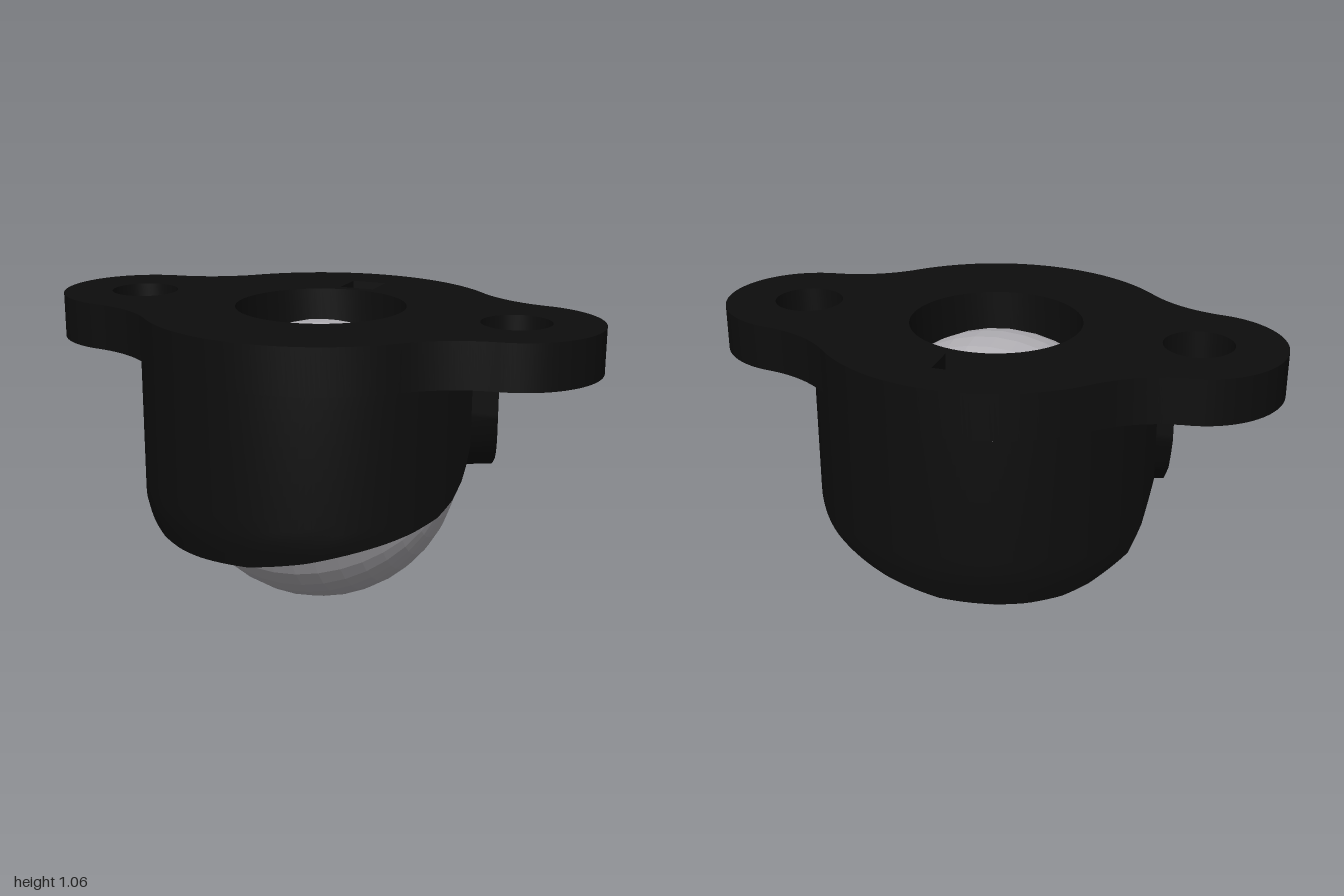
import * as THREE from 'three';
import { toCreasedNormals } from 'three/addons/utils/BufferGeometryUtils.js';

const R = 0.63;        // housing radius
const CAVITY = 0.512;  // socket radius around the ball
const SLOT = 0.16;     // half width of the side slots
const BALL_Y = 0.5;
const FLANGE_Y = 0.9;

// Lower rim of a shell: [angle in degrees from +x, height]
const RIM = [[14.7, 0.67], [17.8, 0.57], [23, 0.5], [29, 0.455], [39, 0.42], [50.6, 0.39], [71.5, 0.337],
  [90, 0.303], [108.5, 0.295], [118, 0.295], [129.4, 0.305], [138, 0.33], [152.7, 0.4], [159, 0.48], [165.3, 0.62]];

function rimHeight(deg) {
  let i = 0;
  while (i < RIM.length - 2 && deg > RIM[i + 1][0]) i++;
  const [a, b] = [RIM[i], RIM[i + 1]];
  return THREE.MathUtils.lerp(a[1], b[1], THREE.MathUtils.clamp((deg - a[0]) / (b[0] - a[0]), 0, 1));
}

// Thick wall: straight outside with a tapered foot, spherical socket inside
const outerRadius = (y) => R - Math.max(0, 0.4 - y) * 0.22;
const innerRadius = (y) => Math.sqrt(CAVITY ** 2 - (y - BALL_Y) ** 2);

function shellGeometry(side) {
  const cols = 72, rows = 14, loop = 2 * (rows + 1);
  const pos = [], idx = [];
  const point = (u, r, y) => {
    const start = Math.asin(SLOT / r);
    const a = THREE.MathUtils.lerp(start, Math.PI - start, u);
    pos.push(r * Math.cos(a), y, side * r * Math.sin(a));
  };
  const tri = (a, b, c) => (side > 0 ? idx.push(a, b, c) : idx.push(a, c, b));
  const quad = (a, b, c, d) => { tri(a, b, c); tri(a, c, d); };

  for (let j = 0; j <= cols; j++) {
    const u = j / cols;
    const bottom = rimHeight(THREE.MathUtils.lerp(RIM[0][0], 165.3, u));
    const height = (i) => THREE.MathUtils.lerp(FLANGE_Y, bottom, i / rows);
    for (let i = 0; i <= rows; i++) point(u, outerRadius(height(i)), height(i));
    for (let i = rows; i >= 0; i--) point(u, innerRadius(height(i)), height(i));
  }
  for (let j = 0; j < cols; j++) {
    for (let i = 0; i < loop - 1; i++) {
      const a = j * loop + i, b = a + loop;
      quad(a, b, b + 1, a + 1);
    }
  }
  // flat walls beside the slots
  for (let i = 0; i < rows; i++) {
    const o = i, n = loop - 1 - i, e = cols * loop;
    quad(o, o + 1, n - 1, n);
    quad(e + o, e + n, e + n - 1, e + o + 1);
  }
  const g = new THREE.BufferGeometry();
  g.setAttribute('position', new THREE.Float32BufferAttribute(pos, 3));
  g.setIndex(idx);
  return toCreasedNormals(g, 0.6);
}

function flangeGeometry() {
  // central disc blended into two end lobes by concave fillets
  const lobeX = 0.7, lobeR = 0.3, fillet = 0.45;
  const d1 = R + fillet, d2 = lobeR + fillet;
  const cx = (d1 * d1 - d2 * d2 + lobeX * lobeX) / (2 * lobeX);
  const cy = Math.sqrt(d1 * d1 - cx * cx);
  const disc = Math.atan2(cy, cx), lobe = Math.atan2(cy, cx - lobeX);
  const PI = Math.PI;
  const s = new THREE.Shape();
  s.absarc(lobeX, 0, lobeR, -lobe, lobe, false);
  s.absarc(cx, cy, fillet, lobe - PI, disc - PI, true);
  s.absarc(0, 0, R, disc, PI - disc, false);
  s.absarc(-cx, cy, fillet, -disc, -lobe, true);
  s.absarc(-lobeX, 0, lobeR, PI - lobe, PI + lobe, false);
  s.absarc(-cx, -cy, fillet, lobe, disc, true);
  s.absarc(0, 0, R, PI + disc, 2 * PI - disc, false);
  s.absarc(cx, -cy, fillet, PI - disc, PI - lobe, true);

  // ball opening and screw holes
  for (const [x, r] of [[0, 0.3], [0.705, 0.12], [-0.705, 0.12]]) {
    s.holes.push(new THREE.Path().absarc(x, 0, r, 0, 2 * PI, true));
  }
  // small square port at the back
  const w = 0.064;
  s.holes.push(new THREE.Path([[-w, -w], [-w, w], [w, w], [w, -w]]
    .map(([x, y]) => new THREE.Vector2(x, y + 0.4))));

  const g = new THREE.ExtrudeGeometry(s, { depth: 0.16, bevelEnabled: false, curveSegments: 32 });
  g.rotateX(-PI / 2).translate(0, FLANGE_Y, 0);
  return toCreasedNormals(g, 0.6);
}

export function createModel() {
  const black = new THREE.MeshStandardMaterial({ color: 0x0d0d0d });
  black.name = 'black plastic';
  const steel = new THREE.MeshStandardMaterial({ color: 0xb3b1b6 });
  steel.name = 'steel grey';

  const model = new THREE.Group();
  model.name = 'ballCaster';
  const add = (name, geometry, material) => {
    const mesh = new THREE.Mesh(geometry, material);
    mesh.name = name;
    model.add(mesh);
  };

  add('mountingFlange', flangeGeometry(), black);
  add('frontShell', shellGeometry(1), black);
  add('backShell', shellGeometry(-1), black);

  // faceted ball with its poles on the x axis
  const ball = new THREE.SphereGeometry(0.5, 40, 20).rotateZ(Math.PI / 2).translate(0, BALL_Y, 0);
  const faceted = ball.toNonIndexed();
  faceted.computeVertexNormals();
  add('ball', faceted, steel);

  return model;
}
